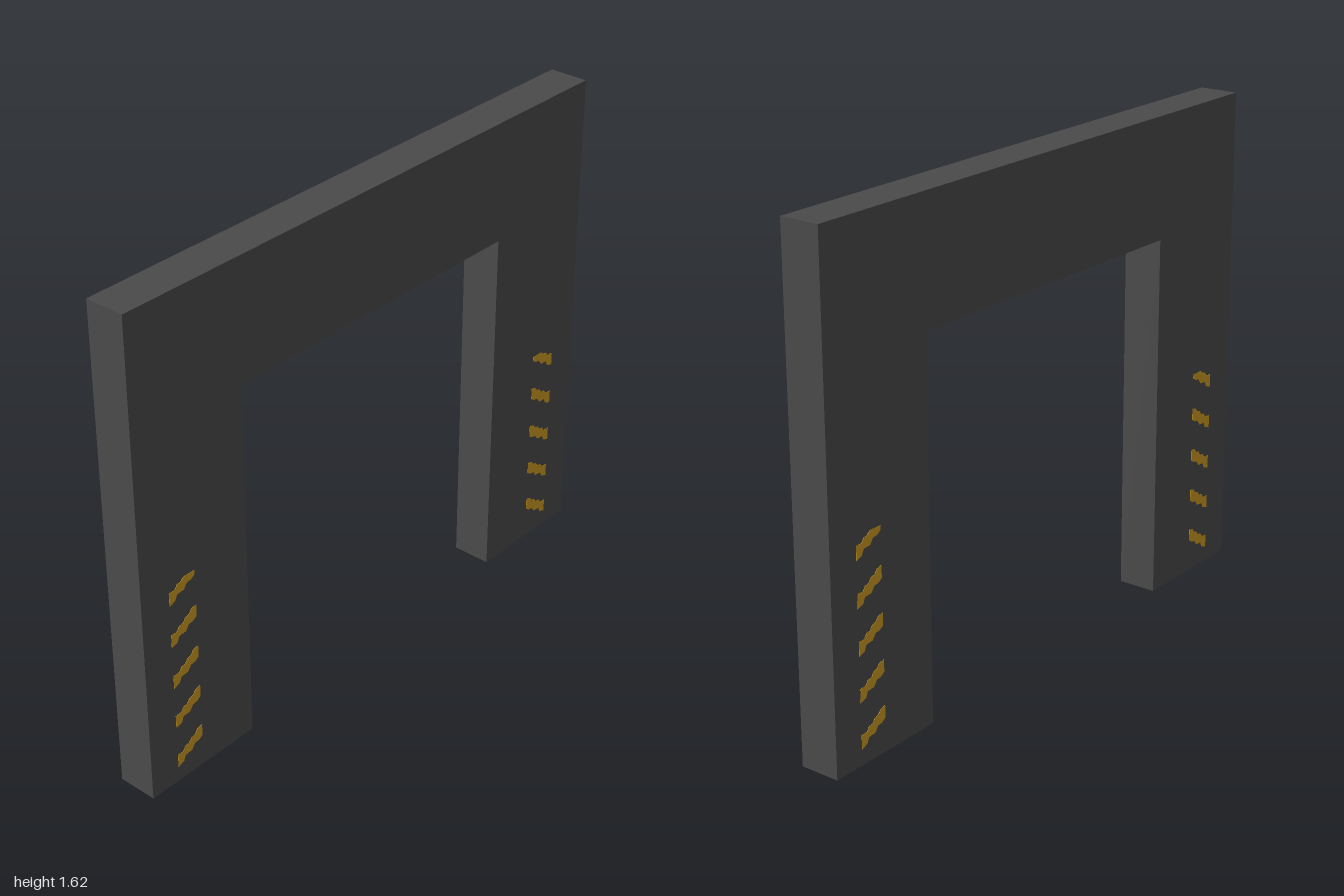
import * as THREE from 'three';

const HALF_T = 0.066, HEIGHT = 1.62, OPEN_Z = 0.577, OPEN_Y = 1.22;
const STRIPE_TOP = 0.71, PLATE = 0.002;

// Outline given as (z, y), extruded across x and centred on it
function slab(points, thickness) {
  const shape = new THREE.Shape(points.map(([z, y]) => new THREE.Vector2(z, y)));
  const geo = new THREE.ExtrudeGeometry(shape, { depth: thickness, bevelEnabled: false });
  geo.translate(0, 0, -thickness / 2);
  geo.rotateY(-Math.PI / 2);
  return geo;
}

export function createModel() {
  const group = new THREE.Group();
  const darkGrey = new THREE.MeshStandardMaterial({ name: 'darkGrey', color: 0x4a4a4a });
  const amber = new THREE.MeshStandardMaterial({ name: 'amber', color: 0xcc9a20 });

  // Square arch: two legs and a lintel
  const frame = new THREE.Mesh(slab([
    [-1, 0], [-OPEN_Z, 0], [-OPEN_Z, OPEN_Y], [OPEN_Z, OPEN_Y],
    [OPEN_Z, 0], [1, 0], [1, HEIGHT], [-1, HEIGHT],
  ], HALF_T * 2), darkGrey);
  frame.name = 'archFrame';
  group.add(frame);

  // Stepped warning stripe rising towards the opening
  const stripe = [
    [0.893, 0], [0.87, 0.008], [0.862, 0.026], [0.835, 0.028], [0.822, 0.046],
    [0.805, 0.048], [0.79, 0.058], [0.79, 0.098], [0.81, 0.093], [0.82, 0.08],
    [0.835, 0.076], [0.845, 0.062], [0.86, 0.06], [0.87, 0.046], [0.893, 0.045],
  ];

  // Five stripes on each leg, on both faces; the highest is cut off flat
  for (const leg of [-1, 1]) {
    for (let i = 0; i < 5; i++) {
      const base = 0.052 + i * 0.1465;
      const geo = slab(stripe.map(([z, y]) => [z * leg, Math.min(base + y, STRIPE_TOP)]), PLATE);
      for (const side of [-1, 1]) {
        const mesh = new THREE.Mesh(geo, amber);
        mesh.name = 'warningStripe';
        mesh.position.x = side * HALF_T;
        group.add(mesh);
      }
    }
  }
  return group;
}
